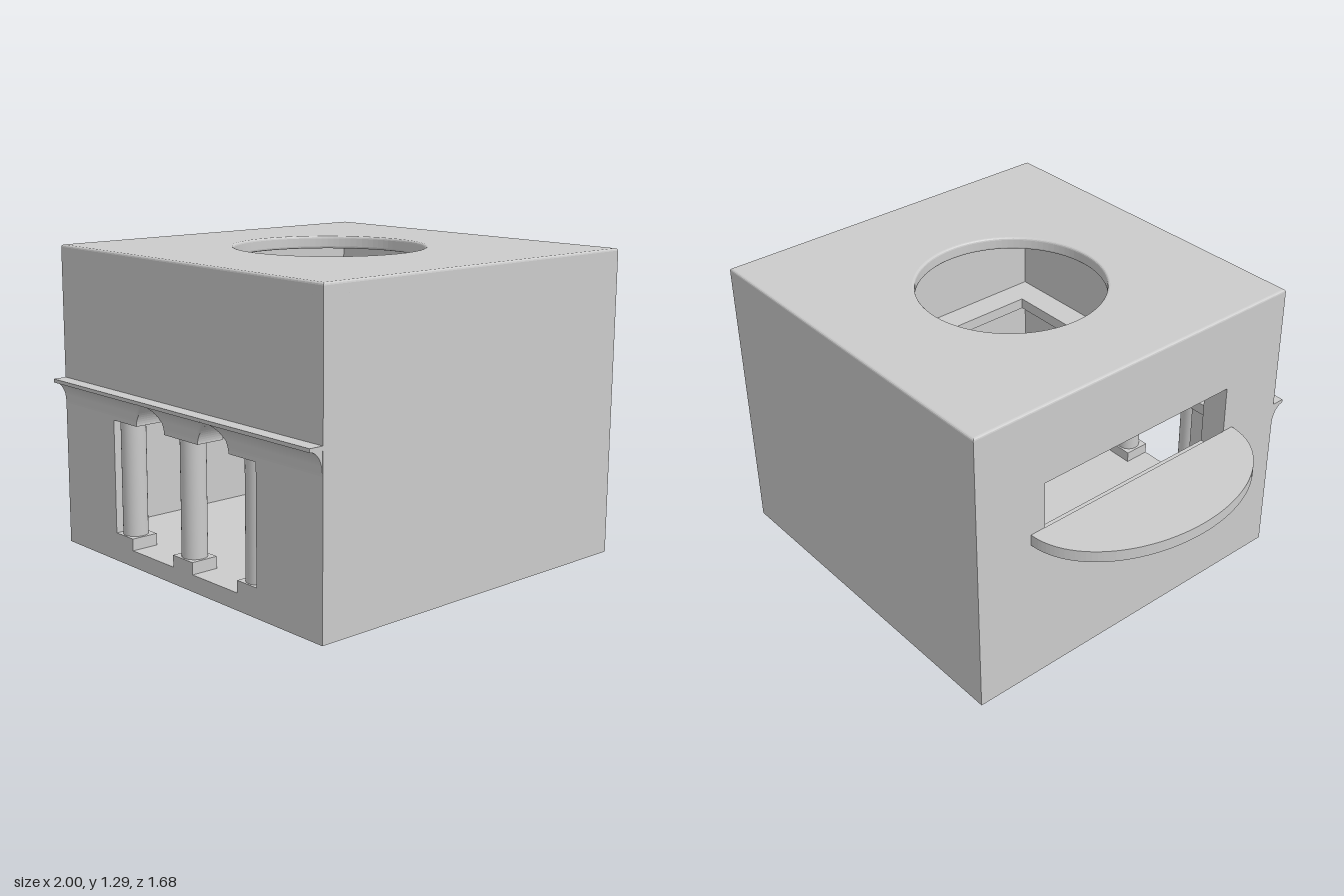
import * as THREE from 'three';

// Main dimensions of the hollow block
const X0 = -0.625, X1 = 1, Z0 = -0.84, Z1 = 0.78, H = 1.29, WALL = 0.12, ROOF = 0.055;
const WALL_TOP = H - 0.015;
const CX = (X0 + X1) / 2, CZ = (Z0 + Z1) / 2;
const BAYS = [-0.017, 0.385], ARCH_HALF = 0.094, SPRING = 0.6;

const material = new THREE.MeshStandardMaterial({ color: 0xcccccc });

// Height of the pointed arch over a given x
function archHeight(x) {
  for (const c of BAYS) {
    const u = Math.abs(x - c) / ARCH_HALF;
    if (u < 1) return SPRING + 0.115 * Math.sqrt(1 - u);
  }
  return 0;
}

function rect(x0, y0, x1, y1, Type = THREE.Shape) {
  return new Type().moveTo(x0, y0).lineTo(x1, y0).lineTo(x1, y1).lineTo(x0, y1).closePath();
}

export function createModel() {
  const group = new THREE.Group();
  const add = (name, geometry, x = 0, y = 0, z = 0) => {
    const mesh = new THREE.Mesh(geometry, material);
    mesh.name = name;
    mesh.position.set(x, y, z);
    group.add(mesh);
    return mesh;
  };
  const box = (name, x0, x1, y0, y1, z0, z1) =>
    add(name, new THREE.BoxGeometry(x1 - x0, y1 - y0, z1 - z0), (x0 + x1) / 2, (y0 + y1) / 2, (z0 + z1) / 2);
  const extrude = (shape, depth) => new THREE.ExtrudeGeometry(shape, { depth, bevelEnabled: false });

  // Plain walls and floor
  box('floor', X0 + WALL, X1 - WALL, 0, 0.07, Z0 + WALL, Z1 - WALL);
  box('backWall', X0, X1, 0, WALL_TOP, Z0, Z0 + WALL);
  box('plainSideWall', X1 - WALL, X1, 0, WALL_TOP, Z0 + WALL, Z1 - WALL);

  // Front wall: one opening with stepped plinths below and two pointed arches above
  const front = rect(X0, 0, X1, WALL_TOP);
  const opening = [[-0.27, 0.12]];
  for (const c of BAYS) {
    opening.push([c - 0.138, 0.12], [c - 0.138, 0.07], [c + 0.138, 0.07], [c + 0.138, 0.12]);
  }
  opening.push([0.637, 0.12], [0.637, SPRING]);
  for (const c of [...BAYS].reverse()) {
    opening.push([c + ARCH_HALF, SPRING]);
    for (let i = -11; i <= 11; i++) {
      const t = i / 12, u = Math.sign(t) * (1 - (1 - Math.abs(t)) ** 2);
      const x = c - u * ARCH_HALF;
      opening.push([x, archHeight(x)]);
    }
    opening.push([c - ARCH_HALF, SPRING]);
  }
  opening.push([-0.27, SPRING]);
  front.holes.push(new THREE.Path(opening.map(([x, y]) => new THREE.Vector2(x, y))));
  add('frontWall', extrude(front, WALL), 0, 0, Z1 - WALL);

  // Columns standing on the plinths
  for (const x of [-0.218, 0.184, 0.582]) {
    add('column', new THREE.CylinderGeometry(0.052, 0.052, 0.48, 32), x, 0.36, 0.72);
  }

  // Cornice with a hollow underside, cut away where the arches pass through it
  const top = 0.727, reach = 0.06;
  const cornice = new THREE.BoxGeometry(X1 - X0 - 0.004, 0.1, reach, 320, 1, 12);
  const p = cornice.attributes.position;
  for (let i = 0; i < p.count; i++) {
    const t = p.getZ(i) / reach + 0.5;
    const under = 0.712 - 0.095 * (1 - Math.sqrt(1 - (1 - t) ** 2));
    const y = p.getY(i) > 0 ? top : Math.max(under, archHeight(p.getX(i) + CX));
    p.setY(i, y);
  }
  cornice.computeVertexNormals();
  add('cornice', cornice, CX, 0, Z1 + reach / 2);

  // Side wall with the wide balcony opening
  const side = rect(Z0 + WALL, 0, Z1 - WALL, WALL_TOP);
  side.holes.push(rect(-0.51, 0.62, 0.47, 0.94, THREE.Path));
  add('balconyWall', extrude(side, WALL).rotateY(-Math.PI / 2), X0 + WALL, 0, 0);

  // Half-oval balcony slab
  const slab = new THREE.Shape();
  slab.absellipse(X0, -0.03, 0.375, 0.55, Math.PI / 2, Math.PI * 1.5, false);
  slab.closePath();
  const slabGeometry = new THREE.ExtrudeGeometry(slab, { depth: 0.05, bevelEnabled: false, curveSegments: 32 });
  add('balcony', slabGeometry.rotateX(Math.PI / 2), 0, 0.73, 0);

  // Inner ledge along the front and the plain side
  box('frontLedge', X0 + WALL, X1 - WALL, 0.685, 0.735, Z1 - WALL - 0.12, Z1 - WALL);
  box('sideLedge', X1 - WALL - 0.12, X1 - WALL, 0.685, 0.735, Z0 + WALL, Z1 - WALL - 0.12);

  // Roof with softened edges and a round skylight
  const roof = rect(X0, -Z1, X1, -Z0);
  roof.holes.push(new THREE.Path().absarc(0.145, 0.03, 0.395, 0, Math.PI * 2, true));
  const b = 0.01;
  const roofGeometry = new THREE.ExtrudeGeometry(roof, {
    depth: ROOF - 2 * b, bevelThickness: b, bevelSize: b, bevelOffset: -b, bevelSegments: 3, curveSegments: 48,
  });
  add('roof', roofGeometry.rotateX(-Math.PI / 2), 0, H - ROOF + b, 0);

  return group;
}
